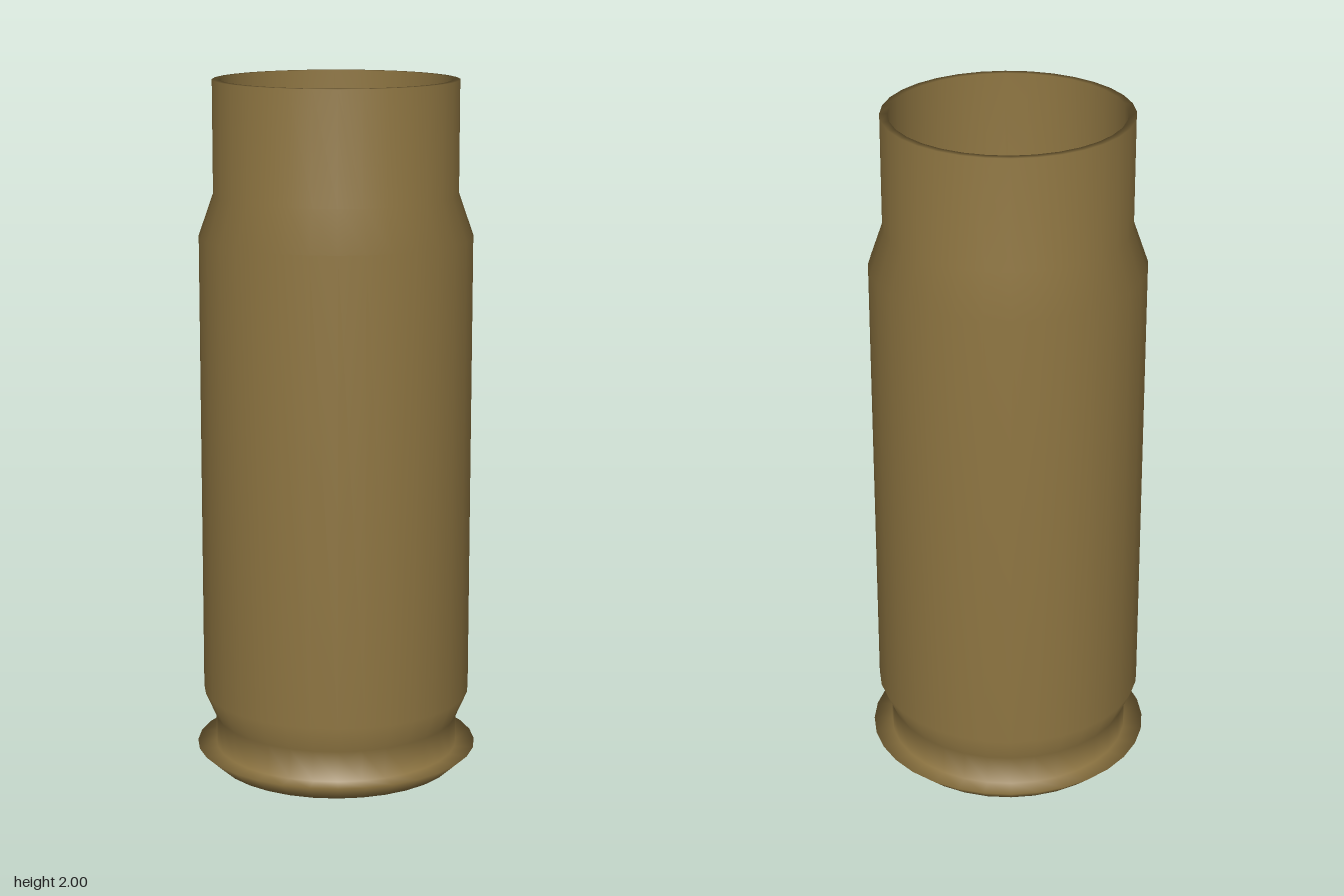
import * as THREE from 'three';

const SIDES = 32;

export function createModel() {
  const model = new THREE.Group();
  model.name = 'cartridgeCase';

  const brass = new THREE.MeshStandardMaterial({ color: 0x8f7642 });
  brass.name = 'brass';

  // Closed wall profile [radius, height]: up the outside, over the lip, down the inside
  const profile = [
    [0, 0], [0.355, 0],             // base
    [0.41, 0.05], [0.355, 0.05],    // flared rim
    [0.355, 0.14], [0.39, 0.22],    // extractor groove
    [0.39, 1.56], [0.348, 1.68],    // body and shoulder
    [0.348, 2], [0.326, 2],         // neck and mouth lip
    [0.326, 0.06], [0, 0.06],       // bore and inner floor
  ].map(([r, y]) => new THREE.Vector2(r, y));

  const casing = new THREE.Mesh(new THREE.LatheGeometry(profile, SIDES), brass);
  casing.name = 'casing';
  model.add(casing);

  return model;
}
